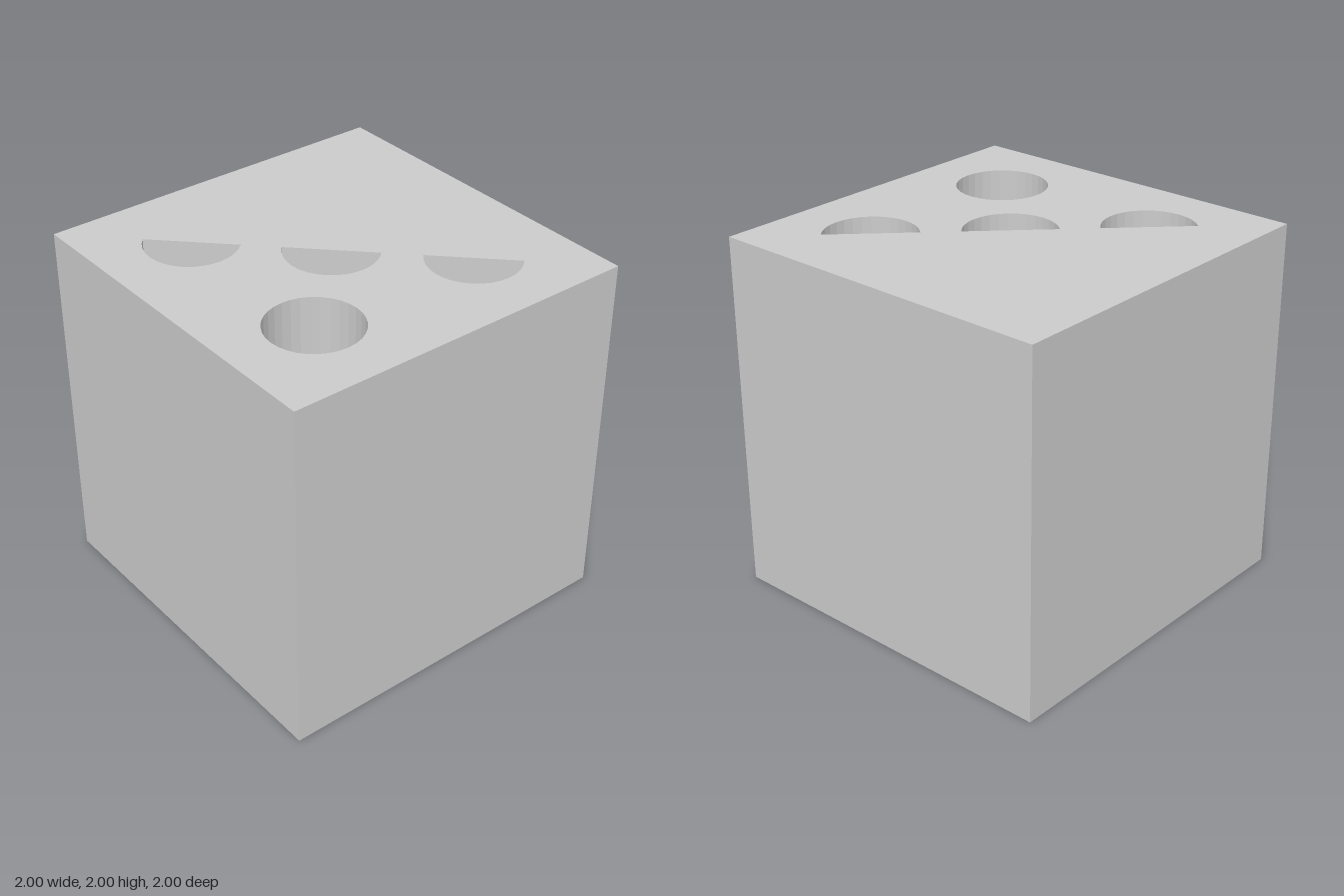
import * as THREE from 'three';

const SIZE = 2, RADIUS = 0.25, DEPTH = 0.5, SEGMENTS = 32;

// Counter-clockwise outline of a pocket, in shape coordinates (shape y = -z)
function pocketOutline({ x, z, start, sweep }) {
  const full = sweep === 2 * Math.PI;
  const steps = Math.round(SEGMENTS * sweep / (2 * Math.PI));
  const points = [];
  for (let i = 0; i < steps + (full ? 0 : 1); i++) {
    const a = start + sweep * i / steps;
    points.push(new THREE.Vector2(x + RADIUS * Math.cos(a), -z + RADIUS * Math.sin(a)));
  }
  return points;
}

// Lay a flat shape horizontally, facing up
function flatFace(shape, y) {
  return new THREE.ShapeGeometry(shape).rotateX(-Math.PI / 2).translate(0, y, 0);
}

// Inward-facing faceted wall around an outline
function wallGeometry(points) {
  const top = SIZE, bottom = SIZE - DEPTH, positions = [];
  points.forEach((a, i) => {
    const b = points[(i + 1) % points.length];
    positions.push(
      a.x, top, -a.y, b.x, top, -b.y, b.x, bottom, -b.y,
      a.x, top, -a.y, b.x, bottom, -b.y, a.x, bottom, -a.y);
  });
  const geometry = new THREE.BufferGeometry();
  geometry.setAttribute('position', new THREE.Float32BufferAttribute(positions, 3));
  geometry.computeVertexNormals();
  return geometry;
}

export function createModel() {
  const model = new THREE.Group();
  model.name = 'pocketedCube';
  const material = new THREE.MeshStandardMaterial({ color: 0xcccccc, flatShading: true });
  const add = (parent, name, geometry) => {
    const mesh = new THREE.Mesh(geometry, material);
    mesh.name = name;
    parent.add(mesh);
  };

  // Sides and bottom: a box without its top face
  const body = new THREE.BoxGeometry(SIZE, SIZE, SIZE).translate(0, SIZE / 2, 0);
  const index = Array.from(body.index.array);
  index.splice(12, 6);
  body.setIndex(index);
  body.clearGroups();
  add(model, 'cubeBody', body);

  // One round pocket and three half-round pockets along the diagonal
  const half = { start: Math.PI * 0.75, sweep: Math.PI };
  const pockets = [
    { name: 'roundPocket', x: -0.5, z: 0.5, start: 0, sweep: 2 * Math.PI },
    ...[-0.5, 0, 0.5].map((p, i) => ({ name: `halfPocket${i + 1}`, x: p, z: p, ...half })),
  ];

  // Top face, pierced by the pockets
  const h = SIZE / 2;
  const top = new THREE.Shape([[-h, -h], [h, -h], [h, h], [-h, h]].map(p => new THREE.Vector2(...p)));

  for (const pocket of pockets) {
    const outline = pocketOutline(pocket);
    top.holes.push(new THREE.Path(outline));
    const group = new THREE.Group();
    group.name = pocket.name;
    add(group, 'pocketWall', wallGeometry(outline));
    add(group, 'pocketFloor', flatFace(new THREE.Shape(outline), SIZE - DEPTH));
    model.add(group);
  }
  add(model, 'topFace', flatFace(top, SIZE));
  return model;
}
